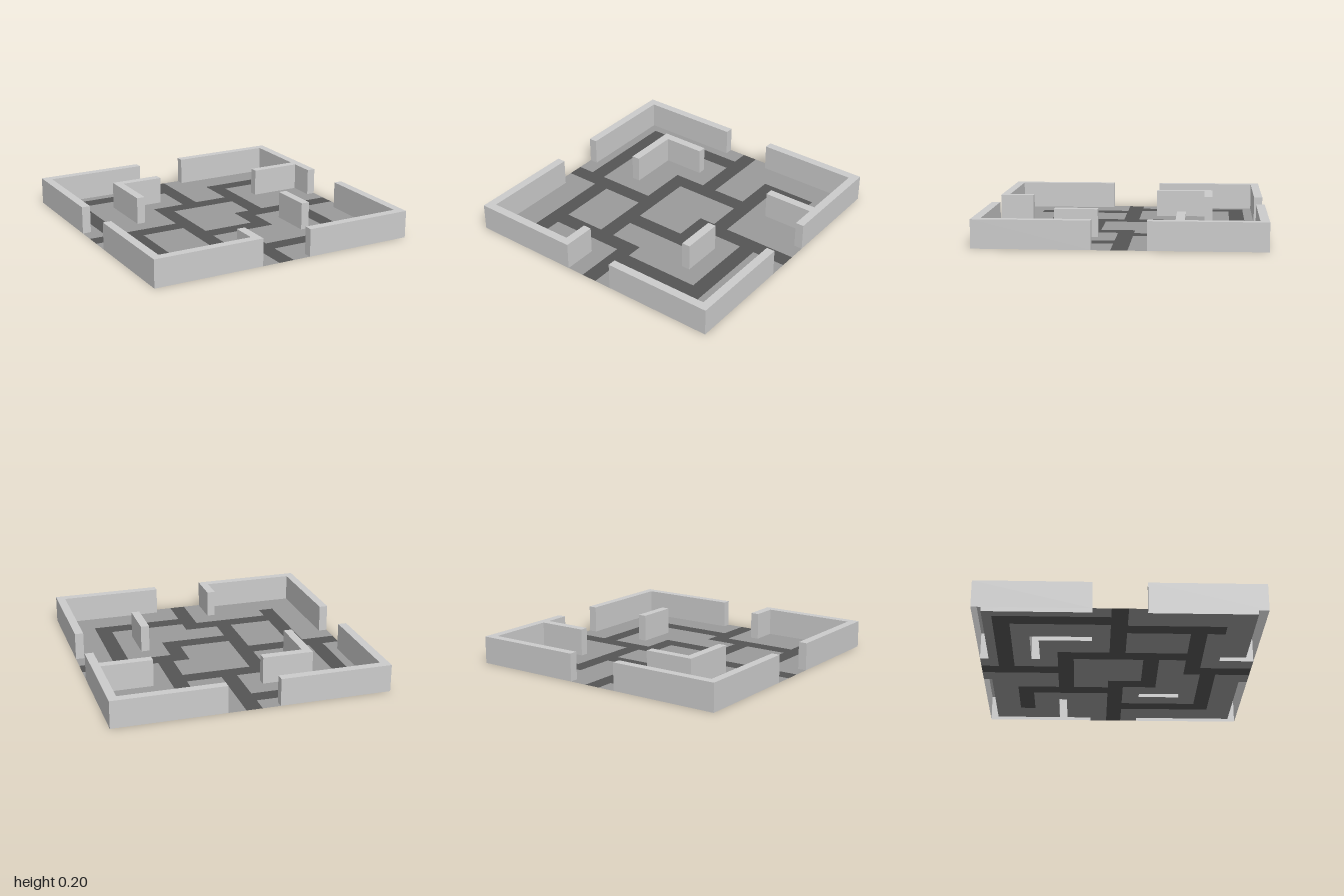
import * as THREE from 'three';

const HEIGHT = 0.2;
const HALF = 0.058; // half the path width
const T = 0.9375, G = 0.1875; // inner wall face, half of the gate opening

// Wall outlines seen from above, as [x, z] corners
const WALLS = {
  backRightWall: [[-1, -1], [-G, -1], [-G, -T], [-T, -T], [-T, -G], [-1, -G]],
  backLeftWall: [[1, -1], [G, -1], [G, -T], [T, -T], [T, -0.4375], [0.5625, -0.4375],
    [0.5625, -0.375], [T, -0.375], [T, -G], [1, -G]],
  frontRightWall: [[-1, 1], [-G, 1], [-G, 0.75], [-0.25, 0.75], [-0.25, T], [-T, T], [-T, G], [-1, G]],
  frontLeftWall: [[1, 1], [G, 1], [G, T], [T, T], [T, G], [1, G]],
  innerCornerWall: [[-0.5625, -0.625], [-G, -0.625], [-G, -0.5625], [-0.5, -0.5625], [-0.5, -G], [-0.5625, -G]],
  innerBarWall: [[0.4375, G], [0.5, G], [0.5, 0.5], [0.4375, 0.5]],
};

// Centre lines of the paths: x1, z1, x2, z2
const PATHS = [
  [0, -1, 0, -0.375], [-0.8125, -0.8125, 0, -0.8125], [-0.8125, -0.8125, -0.8125, 0],
  [-1, 0, -0.25, 0], [-0.25, -0.375, -0.25, 0.5625], [-0.25, -0.375, 0.375, -0.375],
  [0.375, -0.6875, 0.375, 0], [0.375, -0.6875, 0.6875, -0.6875], [0.25, 0, 1, 0],
  [0.25, 0, 0.25, 0.25], [-0.25, 0.25, 0.25, 0.25], [-0.6875, 0, -0.6875, 0.6875],
  [-0.6875, 0.5625, 0, 0.5625], [0, 0.5625, 0, 1], [0, 0.6875, 0.6875, 0.6875],
  [0.6875, 0, 0.6875, 0.6875],
];

const clamp = (v) => Math.max(-1, Math.min(1, v));

// Hollow wall: sides and top, open underneath
function wallGeometry(outline) {
  const shape = new THREE.Shape(outline.map(([x, z]) => new THREE.Vector2(x, -z)));
  const solid = new THREE.ExtrudeGeometry(shape, { depth: HEIGHT, bevelEnabled: false });
  solid.rotateX(-Math.PI / 2);
  const p = solid.attributes.position;
  const kept = [];
  for (let i = 0; i < p.count; i += 3) {
    if (Math.max(p.getY(i), p.getY(i + 1), p.getY(i + 2)) < 0.01) continue;
    for (let k = i; k < i + 3; k++) kept.push(p.getX(k), p.getY(k), p.getZ(k));
  }
  return flatGeometry(kept);
}

function flatGeometry(positions) {
  const geometry = new THREE.BufferGeometry();
  geometry.setAttribute('position', new THREE.Float32BufferAttribute(positions, 3));
  geometry.computeVertexNormals();
  return geometry;
}

// Even-odd test of a point against an outline
function inside(x, z, outline) {
  let hit = false;
  outline.forEach(([ax, az], i) => {
    const [bx, bz] = outline[(i + 1) % outline.length];
    if ((az > z) !== (bz > z) && x < ax + ((z - az) * (bx - ax)) / (bz - az)) hit = !hit;
  });
  return hit;
}

// Splits the ground into tiles of floor and path, leaving gaps below the walls
function groundGeometries() {
  const rects = PATHS.map(([x1, z1, x2, z2]) =>
    [clamp(x1 - HALF), clamp(z1 - HALF), clamp(x2 + HALF), clamp(z2 + HALF)]);
  const outlines = Object.values(WALLS);
  const cuts = (axis) => {
    const all = [...rects.flatMap((r) => [r[axis], r[axis + 2]]), ...outlines.flat().map((c) => c[axis])];
    return [...new Set(all)].sort((a, b) => a - b);
  };
  const xs = cuts(0), zs = cuts(1);
  const floor = [], path = [];
  for (let i = 0; i < xs.length - 1; i++) {
    for (let j = 0; j < zs.length - 1; j++) {
      const [a, b, c, d] = [xs[i], xs[i + 1], zs[j], zs[j + 1]];
      const x = (a + b) / 2, z = (c + d) / 2;
      if (outlines.some((o) => inside(x, z, o))) continue;
      const onPath = rects.some((r) => x > r[0] && x < r[2] && z > r[1] && z < r[3]);
      (onPath ? path : floor).push(a, 0, c, a, 0, d, b, 0, d, a, 0, c, b, 0, d, b, 0, c);
    }
  }
  return { floor: flatGeometry(floor), path: flatGeometry(path) };
}

export function createModel() {
  const model = new THREE.Group();
  model.name = 'walledCourtyard';
  const material = (color) => new THREE.MeshStandardMaterial({ color, side: THREE.DoubleSide });
  const add = (name, geometry, mat) => {
    const mesh = new THREE.Mesh(geometry, mat);
    mesh.name = name;
    model.add(mesh);
  };

  // Walls
  const wallMaterial = material(0xcccccc);
  for (const [name, outline] of Object.entries(WALLS)) add(name, wallGeometry(outline), wallMaterial);

  // Ground
  const ground = groundGeometries();
  add('floor', ground.floor, material(0x9a9a9a));
  add('path', ground.path, material(0x555555));
  return model;
}
